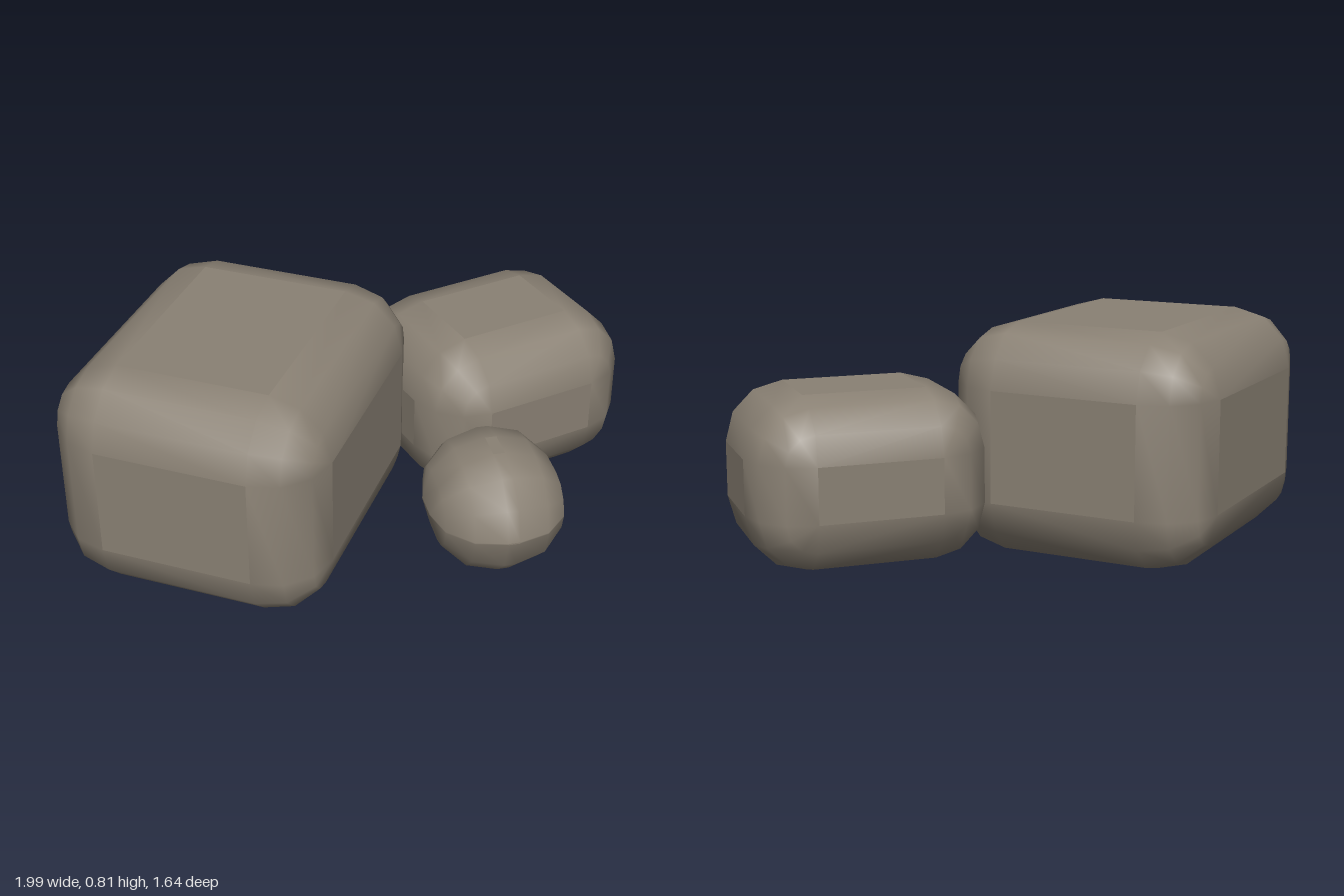
import * as THREE from 'three';
import { mergeVertices, mergeGeometries } from 'three/addons/utils/BufferGeometryUtils.js';

const STEPS = 3; // facets per rounded quarter turn

function toGeometry(points) {
  const g = new THREE.BufferGeometry().setFromPoints(points);
  return g;
}

// Box with evenly rounded edges: crisp flat sides, smooth rounded edges and corners
function roundedBlock(w, h, d, r) {
  const hx = w / 2 - r, hy = h / 2 - r, hz = d / 2 - r;
  const quarter = Math.PI / 2;

  // Cross-section rings stacked along z; each quarter turn repeats its end angle
  const rings = [];
  for (const side of [-1, 1]) {
    for (let k = 0; k <= STEPS; k++) {
      const phi = (side < 0 ? k - STEPS : k) / STEPS * quarter;
      const ring = [];
      for (let q = 0; q < 4; q++) {
        const sx = q === 0 || q === 3 ? 1 : -1, sy = q < 2 ? 1 : -1;
        for (let i = 0; i <= STEPS; i++) {
          const a = (q + i / STEPS) * quarter;
          ring.push(new THREE.Vector3(
            sx * hx + r * Math.cos(phi) * Math.cos(a),
            sy * hy + r * Math.cos(phi) * Math.sin(a),
            side * hz + r * Math.sin(phi)));
        }
      }
      rings.push(ring);
    }
  }

  const flat = [], curved = [];
  const quad = (list, a, b, c, e) => {
    for (const [p, q, s] of [[a, b, c], [a, c, e]]) {
      if (new THREE.Triangle(p, q, s).getArea() > 1e-8) list.push(p, q, s);
    }
  };

  // Skin between rings
  const n = 4 * (STEPS + 1);
  for (let k = 0; k < rings.length - 1; k++) {
    for (let i = 0; i < n; i++) {
      const j = (i + 1) % n;
      const isSide = k === STEPS && i % (STEPS + 1) === STEPS;
      quad(isSide ? flat : curved, rings[k][i], rings[k][j], rings[k + 1][j], rings[k + 1][i]);
    }
  }
  // Flat ends
  const m = STEPS + 1, first = rings[0], last = rings[rings.length - 1];
  quad(flat, last[0], last[m], last[2 * m], last[3 * m]);
  quad(flat, first[3 * m], first[2 * m], first[m], first[0]);

  const smooth = mergeVertices(toGeometry(curved), 1e-5);
  smooth.computeVertexNormals();
  const crisp = toGeometry(flat);
  crisp.computeVertexNormals();
  return mergeGeometries([smooth.toNonIndexed(), crisp]);
}

export function createModel() {
  const group = new THREE.Group();
  group.name = 'boulderCluster';
  const stone = new THREE.MeshStandardMaterial({ color: 0x8a8174 });
  stone.name = 'warm grey stone';

  // name, size (w, h, d), edge radius, centre, turn about y
  const rocks = [
    ['largeBoulder', [1.12, 0.81, 0.95], 0.21, [-0.37, 0.405, -0.255], 0.31],
    ['mediumBoulder', [0.82, 0.59, 0.7], 0.2, [0.55, 0.325, 0.178], -0.43],
    ['smallBoulder', [0.53, 0.435, 0.47], 0.215, [0.005, 0.245, 0.555], 0.87],
  ];
  for (const [name, size, radius, centre, turn] of rocks) {
    const rock = new THREE.Mesh(roundedBlock(...size, radius), stone);
    rock.name = name;
    rock.position.set(...centre);
    rock.rotation.y = turn;
    group.add(rock);
  }
  return group;
}
